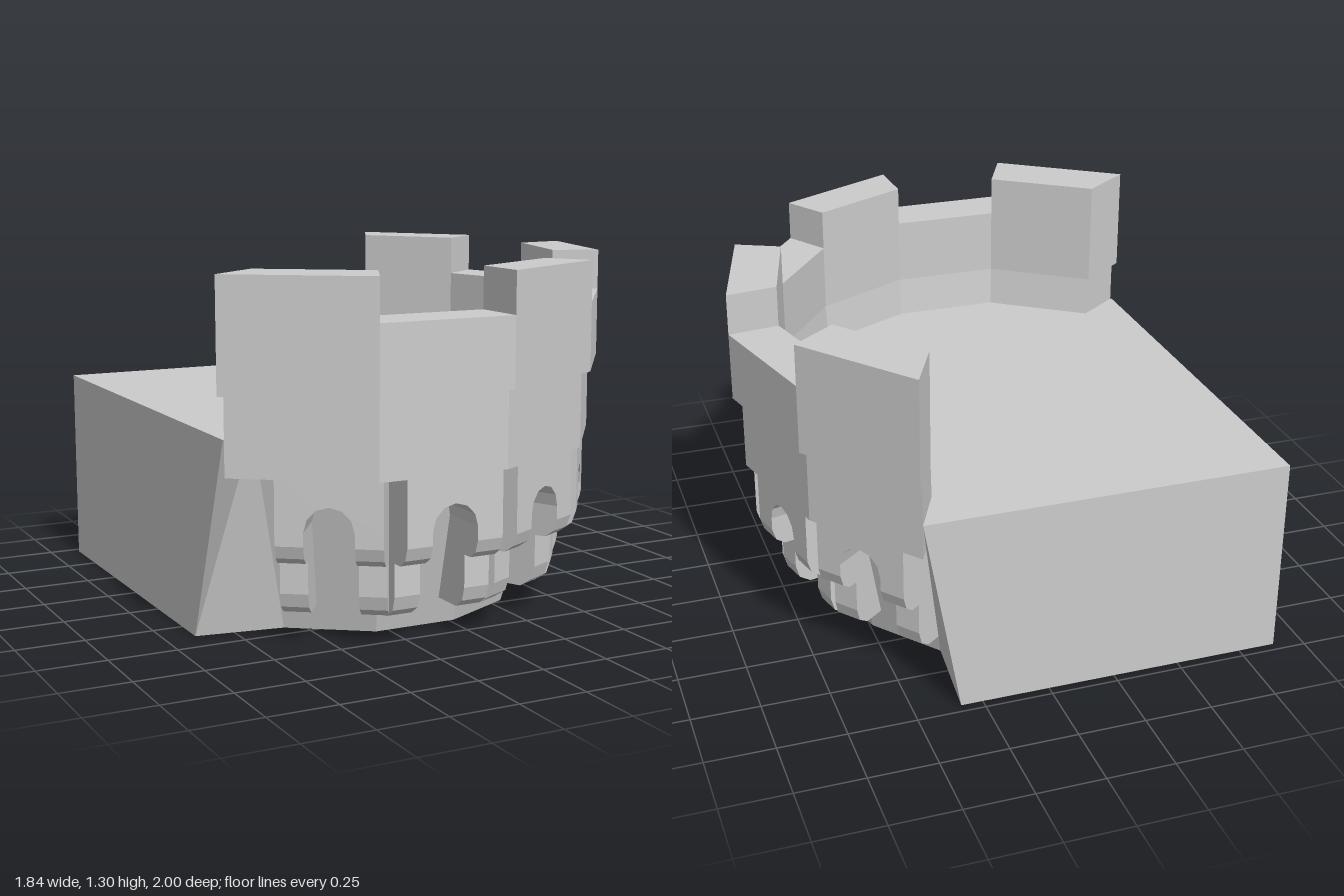
import * as THREE from 'three';

const material = new THREE.MeshStandardMaterial({ color: 0xcccccc, flatShading: true, side: THREE.DoubleSide });

// Outer corners of the parapet in plan [x, z], left front round to right back
const PLAN = [[-0.92, 0.69], [-0.48, 1], [0.03, 1], [0.49, 0.77], [0.79, 0.37], [0.92, -0.12], [0.79, -0.61], [0.48, -1]];
const scaled = (p, k) => [p[0] * k, p[1] * k];

// Loft between two plan outlines (counterclockwise from above), with optional end caps
function loft(bottom, y0, top, y1, capBottom = true) {
  const pos = [];
  const add = (p, y) => pos.push(p[0], y, p[1]);
  const n = bottom.length;
  for (let i = 0; i < n; i++) {
    const j = (i + 1) % n;
    add(bottom[i], y0); add(bottom[j], y0); add(top[j], y1);
    add(bottom[i], y0); add(top[j], y1); add(top[i], y1);
  }
  const cap = (ring, y, flip) => {
    const flat = ring.map(p => new THREE.Vector2(p[0], -p[1]));
    for (const f of THREE.ShapeUtils.triangulateShape(flat, [])) {
      for (const i of flip ? [f[2], f[1], f[0]] : f) add(ring[i], y);
    }
  };
  cap(top, y1, false);
  if (capBottom) cap(bottom, y0, true);
  const g = new THREE.BufferGeometry();
  g.setAttribute('position', new THREE.Float32BufferAttribute(pos, 3));
  g.computeVertexNormals();
  return g;
}

function mesh(geometry, name, parent) {
  const m = new THREE.Mesh(geometry, material);
  m.name = name;
  parent.add(m);
  return m;
}

// Four-cornered plan of one wall side between an outer and an inner scale
const side = (i, outer, inner) => [
  scaled(PLAN[i], outer), scaled(PLAN[i + 1], outer), scaled(PLAN[i + 1], inner), scaled(PLAN[i], inner),
];

// Arch on two stepped brackets; front face at z = 0, reaching back into the wall
function createArch() {
  const arch = new THREE.Group();
  const half = 0.187, open = 0.088, spring = 0.42;
  const leg = new THREE.Shape([
    [0, spring], [0, 0.37], [-0.015, 0.325], [-0.05, 0.3], [-0.09, 0.3],
    [-0.09, 0.18], [-0.105, 0.13], [-0.15, 0.1], [-0.29, 0.1], [-0.22, spring],
  ].map(p => new THREE.Vector2(...p)));
  for (const x of [-open, half]) {
    const g = new THREE.ExtrudeGeometry(leg, { depth: half - open, bevelEnabled: false });
    g.rotateY(-Math.PI / 2);
    g.translate(x, 0, 0);
    mesh(g, 'bracket', arch);
  }
  const head = new THREE.Shape();
  head.moveTo(half, spring);
  head.lineTo(half, 0.62);
  head.lineTo(-half, 0.62);
  head.lineTo(-half, spring);
  for (let i = 0; i <= 6; i++) {
    const a = Math.PI * (1 - i / 6);
    head.lineTo(open * Math.cos(a), spring + 0.09 * Math.sin(a));
  }
  const g = new THREE.ExtrudeGeometry(head, { depth: 0.21, bevelEnabled: false });
  g.translate(0, 0, -0.21);
  mesh(g, 'archHead', arch);
  return arch;
}

export function createModel() {
  const model = new THREE.Group();
  model.name = 'towerBalcony';

  // Tapering hollow body, open below, closed by the deck
  const foot = [[-0.89, 0.38], ...PLAN.map(p => scaled(p, 0.62)), [0.33, -0.965], [-0.89, -0.965]];
  const deck = [[-0.89, 0.665], ...PLAN.map(p => scaled(p, 0.8)), [0.462, -0.965], [-0.89, -0.965]];
  mesh(loft(foot, 0, deck, 0.75, false), 'body', model);

  for (let i = 0; i < PLAN.length - 1; i++) {
    // Band below the parapet
    mesh(loft(side(i, 0.963, 0.769), 0.62, side(i, 0.963, 0.8), 0.9), 'band', model);

    // Parapet, alternately tall and low
    const tall = i % 2 === 0;
    const plan = side(i, 1, 0.797);
    mesh(loft(plan, 0.9, plan, tall ? 1.3 : 1.15), tall ? 'merlon' : 'crenel', model);

    // Bracketed arch under each side
    const [a, b] = [PLAN[i], PLAN[i + 1]];
    const arch = createArch();
    arch.name = 'bracketArch';
    arch.position.set((a[0] + b[0]) * 0.435 + 0.05, 0, (a[1] + b[1]) * 0.435 + 0.045);
    arch.rotation.y = Math.atan2(a[1] - b[1], b[0] - a[0]);
    model.add(arch);
  }
  return model;
}
